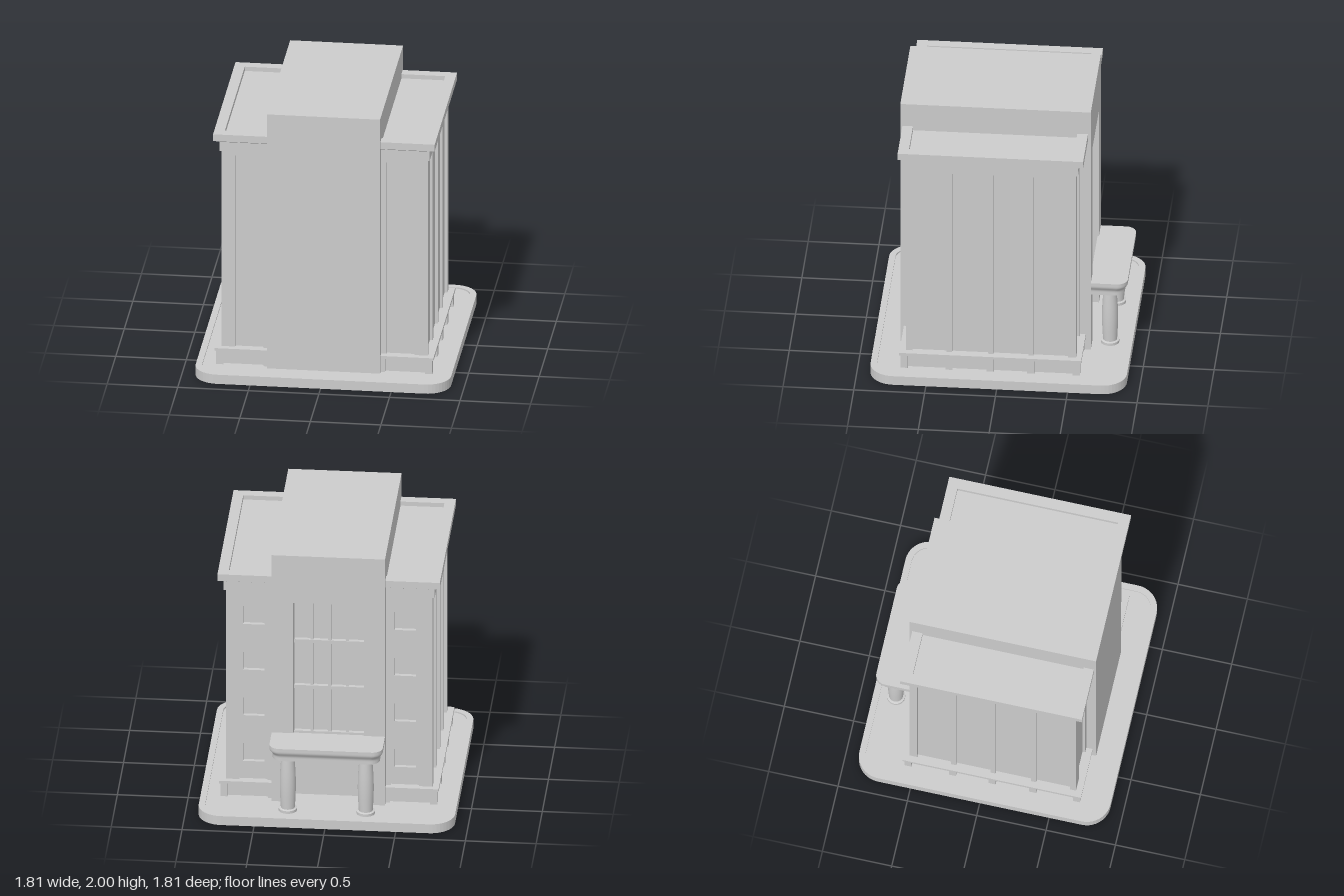
import * as THREE from 'three';
import { toCreasedNormals } from 'three/addons/utils/BufferGeometryUtils.js';

const flat = new THREE.MeshStandardMaterial({ color: 0xcccccc, flatShading: true });
const smooth = new THREE.MeshStandardMaterial({ color: 0xcccccc });

function add(parent, name, geo, mat = flat) {
  const m = new THREE.Mesh(geo, mat);
  m.name = name;
  parent.add(m);
  return m;
}

// box given by its limits, in any order
function box(parent, name, x0, x1, y0, y1, z0, z1) {
  const g = new THREE.BoxGeometry(Math.abs(x1 - x0), Math.abs(y1 - y0), Math.abs(z1 - z0));
  g.translate((x0 + x1) / 2, (y0 + y1) / 2, (z0 + z1) / 2);
  return add(parent, name, g);
}

function rectPath(P, x0, x1, y0, y1) {
  const a = Math.min(x0, x1), b = Math.max(x0, x1);
  return new P([[a, y0], [b, y0], [b, y1], [a, y1]].map(p => new THREE.Vector2(...p)));
}

// upright slab with rectangular holes [u0, u1, y0, y1], extruded towards +z
function wallGeo(u0, u1, y0, y1, holes, depth) {
  const s = rectPath(THREE.Shape, u0, u1, y0, y1);
  holes.forEach(h => s.holes.push(rectPath(THREE.Path, ...h)));
  return new THREE.ExtrudeGeometry(s, { depth, bevelEnabled: false });
}

function roundedSquare(P, h, r) {
  const p = new P(), c = h - r;
  p.moveTo(c, -h);
  p.absarc(c, -c, r, -Math.PI / 2, 0);
  p.absarc(c, c, r, 0, Math.PI / 2);
  p.absarc(-c, c, r, Math.PI / 2, Math.PI);
  p.absarc(-c, -c, r, Math.PI, Math.PI * 1.5);
  p.closePath();
  return p;
}

// profile of [offset, y] carried round a rectangle with mitred corners
function rectSweep(profile, hx, hz, cz) {
  const g = new THREE.LatheGeometry(profile.map(([o, y]) => new THREE.Vector2(1 + o, y)), 4, Math.PI / 4);
  const p = g.attributes.position;
  for (let i = 0; i < p.count; i++) {
    const o = Math.hypot(p.getX(i), p.getZ(i)) - 1;
    p.setX(i, Math.sign(p.getX(i)) * (hx + o));
    p.setZ(i, Math.sign(p.getZ(i)) * (hz + o) + cz);
  }
  return g;
}

function buildBase(g) {
  // kerb ring, thin floor and wall footings seen from below
  const ring = roundedSquare(THREE.Shape, 0.905, 0.17);
  ring.holes.push(roundedSquare(THREE.Path, 0.86, 0.125));
  const opts = { bevelEnabled: false, curveSegments: 5 };
  add(g, 'kerb', new THREE.ExtrudeGeometry(ring, { ...opts, depth: 0.07 }).rotateX(-Math.PI / 2));
  add(g, 'floor', new THREE.ExtrudeGeometry(roundedSquare(THREE.Shape, 0.865, 0.13), { ...opts, depth: 0.015 })
    .rotateX(-Math.PI / 2).translate(0, 0.045, 0));
  for (const s of [1, -1]) {
    box(g, 'footing', s * 0.38, s * 0.4, 0.015, 0.05, -0.62, 0.725);
    box(g, 'footing', s * 0.745, s * 0.765, 0.015, 0.05, -0.575, 0.69);
    for (const z of [-0.575, 0.67]) box(g, 'footing', s * 0.4, s * 0.765, 0.015, 0.05, z, z + 0.02);
  }
}

function buildCentre(g) {
  box(g, 'centralBlock', -0.4, 0.4, 0.05, 2, -0.49, 0.725);
  // rear wall with a tall entrance recess
  const s = new THREE.Shape([[-0.4, 0.05], [-0.25, 0.05], [-0.25, 1.63], [0.25, 1.63], [0.25, 0.05],
    [0.4, 0.05], [0.4, 2], [-0.4, 2]].map(p => new THREE.Vector2(...p)));
  add(g, 'entranceWall', new THREE.ExtrudeGeometry(s, { depth: 0.13, bevelEnabled: false }).translate(0, 0, -0.62));
  // window grid
  for (const x of [-0.125, 0, 0.125]) box(g, 'mullion', x - 0.011, x + 0.011, 0.56, 1.63, -0.515, -0.489);
  for (const y of [0.56, 0.92, 1.28]) box(g, 'transom', -0.25, 0.25, y - 0.013, y + 0.013, -0.52, -0.489);
}

function buildWing(g, s) {
  const wing = new THREE.Group();
  wing.name = s > 0 ? 'leftWing' : 'rightWing';
  g.add(wing);
  const y0 = 0.15, y1 = 1.7, top = 1.645, low = 0.18;
  box(wing, 'wingCore', s * 0.37, s * 0.71, 0.05, 1.75, -0.495, 0.635);
  // long side with four tall panels (shape runs along -z)
  const bays = [[-0.61, -0.37], [-0.33, -0.075], [-0.04, 0.21], [0.245, 0.49]];
  const side = wallGeo(-0.655, 0.545, y0, y1, bays.map(b => [...b, low, top]), 0.02).rotateY(Math.PI / 2);
  add(wing, 'sideWall', side.translate(s > 0 ? 0.71 : -0.73, 0, 0));
  // front and rear faces, each with one panel
  const panel = [s * 0.435, s * 0.635, low, top];
  for (const z of [0.635, -0.545])
    add(wing, 'endWall', wallGeo(s * 0.37, s * 0.71, y0, y1, [panel], 0.02).translate(0, 0, z));
  // rear window openings
  const windows = [0.39, 0.75, 1.11, 1.47].map(y => [s * 0.46, s * 0.61, y - 0.07, y + 0.07]);
  add(wing, 'windowWall', wallGeo(s * 0.37, s * 0.71, y0, y1, windows, 0.03).translate(0, 0, -0.525));
  // plinth with piers and cap
  box(wing, 'plinth', s * 0.37, s * 0.74, 0.05, 0.17, -0.55, 0.665);
  box(wing, 'plinthCap', s * 0.37, s * 0.775, 0.165, 0.185, -0.585, 0.7);
  for (const z of [0.665, 0.35, 0.058, -0.228, -0.55])
    box(wing, 'plinthPier', s * 0.715, s * 0.765, 0.05, 0.17, z - 0.025, z + 0.025);
  for (const z of [-0.575, 0.64])
    box(wing, 'plinthPier', s * 0.38, s * 0.43, 0.05, 0.17, z, z + 0.05);
}

function buildCornice(g) {
  const profile = [[-0.01, 1.68], [0.015, 1.68], [0.015, 1.75], [0.03, 1.757], [0.045, 1.77],
    [0.055, 1.77], [0.055, 1.822], [-0.02, 1.822], [-0.02, 1.78]];
  add(g, 'cornice', rectSweep(profile, 0.73, 0.6, 0.055));
  box(g, 'roof', -0.715, 0.715, 1.74, 1.79, -0.53, 0.64);
}

function buildPorch(g) {
  const porch = new THREE.Group();
  porch.name = 'porch';
  porch.position.z = -0.61;
  g.add(porch);
  // canopy: rounded outer corners, moulded lower edge
  const w = 0.4, d = 0.265, r = 0.075, s = new THREE.Shape();
  s.moveTo(-w, 0);
  s.lineTo(w, 0);
  s.lineTo(w, d - r);
  s.absarc(w - r, d - r, r, 0, Math.PI / 2);
  s.absarc(-w + r, d - r, r, Math.PI / 2, Math.PI);
  s.closePath();
  const geo = new THREE.ExtrudeGeometry(s, { depth: 0.105, steps: 10, bevelEnabled: false, curveSegments: 8 });
  const p = geo.attributes.position;
  for (let i = 0; i < p.count; i++) {
    const inset = 0.022 * (1 - THREE.MathUtils.smoothstep(p.getZ(i), 0.03, 0.075));
    p.setX(i, p.getX(i) * (1 - inset / w));
    p.setY(i, p.getY(i) * (1 - inset / d));
  }
  geo.rotateX(-Math.PI / 2).translate(0, 0.497, 0);
  add(porch, 'canopy', toCreasedNormals(geo, 0.6), smooth);
  // columns with a slight swell
  const col = [[0, 0.02], [0.05, 0.02], [0.05, 0.06], [0.065, 0.06], [0.065, 0.08], [0.05, 0.085], [0.055, 0.18],
    [0.057, 0.26], [0.055, 0.36], [0.047, 0.47], [0.053, 0.478], [0.066, 0.48], [0.066, 0.5], [0, 0.5]];
  const colGeo = toCreasedNormals(new THREE.LatheGeometry(col.map(q => new THREE.Vector2(...q)), 24), 0.6);
  for (const x of [-0.275, 0.275]) add(porch, 'column', colGeo, smooth).position.set(x, 0, -0.135);
}

export function createModel() {
  const g = new THREE.Group();
  g.name = 'building';
  buildBase(g);
  buildCentre(g);
  buildWing(g, 1);
  buildWing(g, -1);
  buildCornice(g);
  buildPorch(g);
  return g;
}
